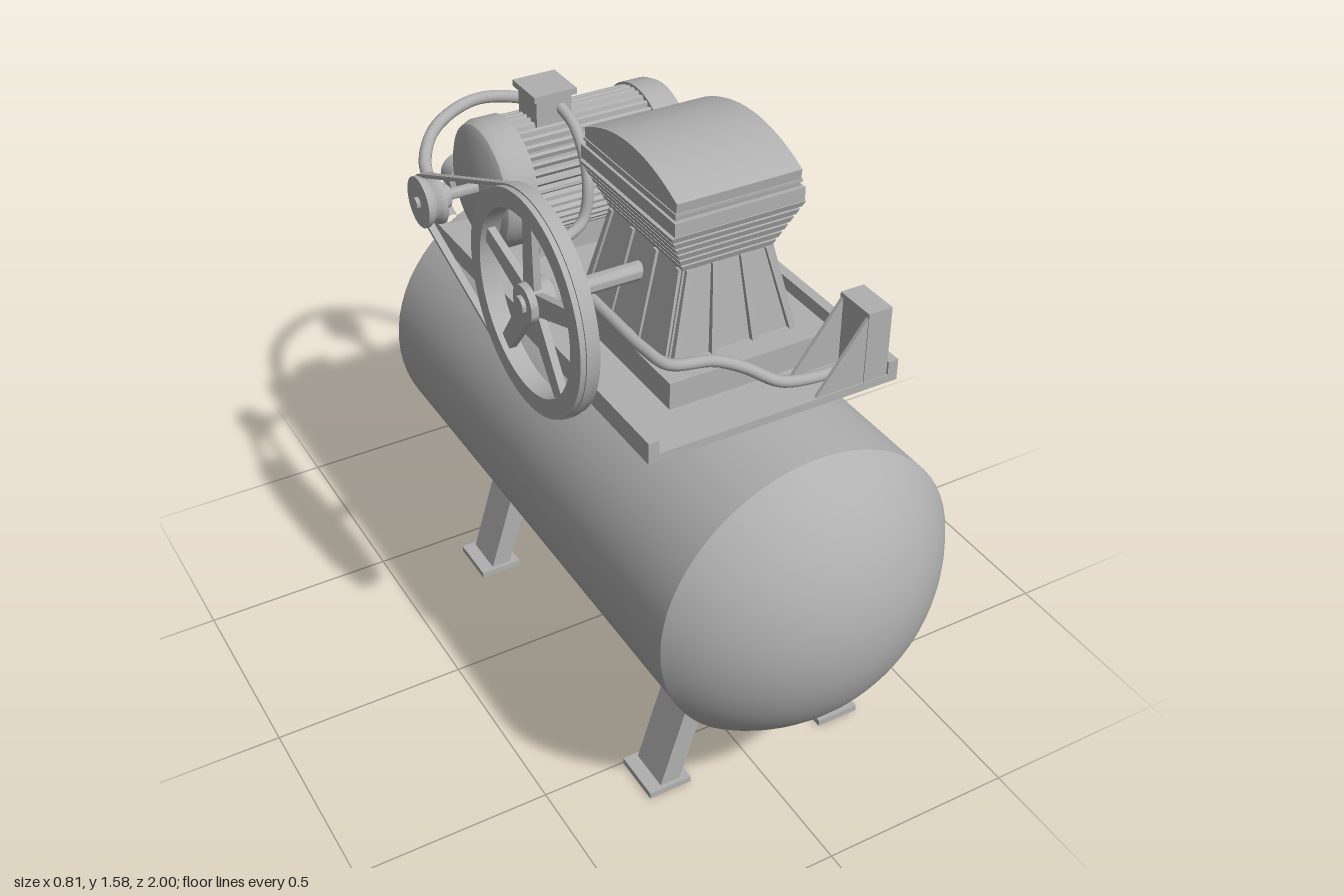
import * as THREE from 'three';
import { toCreasedNormals } from 'three/addons/utils/BufferGeometryUtils.js';

const CX = 0.022; // centre line of tank and pump
const steel = new THREE.MeshStandardMaterial({ color: 0xb0b0b0 });
steel.name = 'grey steel';

export function createModel() {
  const model = new THREE.Group();
  model.name = 'airCompressor';

  const add = (name, geo, parent = model) => {
    const mesh = new THREE.Mesh(geo, steel);
    mesh.name = name;
    parent.add(mesh);
    return mesh;
  };
  const group = (name) => {
    const g = new THREE.Group();
    g.name = name;
    model.add(g);
    return g;
  };
  // box given by its extents
  const box = (x0, x1, y0, y1, z0, z1) =>
    new THREE.BoxGeometry(x1 - x0, y1 - y0, z1 - z0).translate((x0 + x1) / 2, (y0 + y1) / 2, (z0 + z1) / 2);
  const V2 = (pts) => pts.map(([a, b]) => new THREE.Vector2(a, b));
  // lathe profile [radius, position along axis]
  const lathe = (pts, seg = 32) => new THREE.LatheGeometry(V2(pts), seg);
  const latheX = (pts, y, z, seg) => toCreasedNormals(lathe(pts, seg).rotateZ(-Math.PI / 2), 0.6).translate(0, y, z);
  const rodX = (x0, x1, r, y, z) => latheX([[0, x0], [r, x0], [r, x1], [0, x1]], y, z, 24);
  // shape drawn in (z, y), extruded between x0 and x1
  const extrudeX = (shape, x0, x1, curveSegments = 32) => toCreasedNormals(
    new THREE.ExtrudeGeometry(shape, { depth: x1 - x0, bevelEnabled: false, curveSegments })
      .rotateY(-Math.PI / 2).translate(x1, 0, 0), 0.5);
  const extrudeZ = (pts, z0, z1) =>
    new THREE.ExtrudeGeometry(new THREE.Shape(V2(pts)), { depth: z1 - z0, bevelEnabled: false }).translate(0, 0, z0);
  const tube = (pts, r, seg = 60) => new THREE.TubeGeometry(
    new THREE.CatmullRomCurve3(pts.map((p) => new THREE.Vector3(...p))), seg, r, 12);
  // stack of rectangles [y, x0, x1, z0, z1], closed at both ends, flat faces
  const loft = (sections) => {
    const pos = [];
    const rings = sections.map(([y, x0, x1, z0, z1]) => [[x0, y, z1], [x1, y, z1], [x1, y, z0], [x0, y, z0]]);
    const quad = (a, b, c, d) => pos.push(...a, ...b, ...c, ...a, ...c, ...d);
    for (let i = 0; i < rings.length - 1; i++) {
      for (let j = 0; j < 4; j++) {
        const k = (j + 1) % 4;
        quad(rings[i][j], rings[i][k], rings[i + 1][k], rings[i + 1][j]);
      }
    }
    const top = rings[rings.length - 1], b = rings[0];
    quad(...top);
    quad(b[3], b[2], b[1], b[0]);
    const geo = new THREE.BufferGeometry();
    geo.setAttribute('position', new THREE.Float32BufferAttribute(pos, 3));
    geo.computeVertexNormals();
    return geo;
  };

  // Tank: cylinder with two spherical caps
  const profile = [];
  const R = 0.465, edge = Math.asin(0.382 / R), N = 14;
  for (let i = 0; i <= N; i++) {
    const a = edge * i / N;
    profile.push([R * Math.sin(a), -0.795 + R * (1 - Math.cos(a))]);
  }
  for (let i = N; i >= 0; i--) {
    const a = edge * i / N;
    profile.push([R * Math.sin(a), 1 - R * (1 - Math.cos(a))]);
  }
  add('tank', toCreasedNormals(lathe(profile, 64).rotateX(Math.PI / 2), 0.5).translate(CX, 0.655, 0));

  // Leg frames with foot plates
  for (const [name, z] of [['frontLegs', 0.569], ['rearLegs', -0.364]]) {
    const legs = group(name);
    const half = [[0.19, 0.28], [0.27, 0.015], [0.217, 0.015], [0.143, 0.253]];
    const outline = [...half.map(([x, y]) => [CX + x, y]), ...half.slice().reverse().map(([x, y]) => [CX - x, y])];
    add('legFrame', extrudeZ(outline.reverse(), z - 0.056, z + 0.056), legs);
    for (const s of [-1, 1]) {
      const fx = CX + s * 0.248;
      add('foot', box(fx - 0.057, fx + 0.057, 0, 0.017, z - 0.067, z + 0.067), legs);
    }
  }

  // Mounting tray with side rims
  const tray = group('tray');
  add('trayFloor', box(-0.303, 0.341, 1.04, 1.06, -0.45, 0.645), tray);
  add('trayRim', box(-0.303, -0.277, 1.04, 1.094, -0.45, 0.645), tray);
  add('trayRim', box(0.315, 0.341, 1.04, 1.094, -0.45, 0.645), tray);

  // Curved handle at the back
  const bend = [[0.276, 1.08, -0.43], [0.265, 1.093, -0.53], [0.24, 1.122, -0.67], [0.15, 1.158, -0.785]];
  add('handle', tube([
    ...bend.map(([x, y, z]) => [CX - x, y, z]), [CX, 1.178, -0.838],
    ...bend.slice().reverse().map(([x, y, z]) => [CX + x, y, z]),
  ], 0.017));

  // Pump: base, tapered crankcase with ribs, finned neck, arched head
  const pump = group('pump');
  const PZ = 0.262, PY = 1.258;
  add('pumpBase', box(-0.178, 0.213, 1.06, 1.128, 0, 0.52), pump);
  const sec = (y, w, d) => [y, CX - w, CX + w, PZ - d, PZ + d];
  add('crankcase', loft([sec(1.128, 0.165, 0.19), sec(1.337, 0.113, 0.16)]), pump);
  for (const s of [-1, 1]) {
    for (const t of [-1, -0.35, 0.35, 1]) {
      const rib = (y, w, d) => {
        const x = CX + t * (w - 0.012), z = PZ + s * d;
        return [y, x - 0.007, x + 0.007, z - 0.014, z + 0.014];
      };
      add('crankcaseRib', loft([rib(1.128, 0.165, 0.19), rib(1.337, 0.113, 0.155)]), pump);
      const sideRib = (y, w, d) => {
        const x = CX + s * w, z = PZ + t * (d - 0.012);
        return [y, x - 0.011, x + 0.011, z - 0.007, z + 0.007];
      };
      add('crankcaseRib', loft([sideRib(1.128, 0.16, 0.19), sideRib(1.337, 0.11, 0.16)]), pump);
    }
  }
  const neck = [];
  for (let i = 0; i < 6; i++) {
    const y = 1.337 + i * 0.02, w = 0.115 + i * 0.0095, d = 0.163 + i * 0.007;
    neck.push(sec(y, w, d), sec(y + 0.014, w + 0.006, d + 0.005), sec(y + 0.015, w - 0.003, d - 0.003));
  }
  neck.push(sec(1.455, 0.163, 0.206), sec(1.488, 0.163, 0.206));
  add('coolingFins', loft(neck), pump);
  const arch = new THREE.Shape();
  arch.moveTo(PZ - 0.195, 1.488);
  arch.lineTo(PZ + 0.195, 1.488);
  arch.lineTo(PZ + 0.2, 1.53);
  arch.quadraticCurveTo(PZ, 1.632, PZ - 0.2, 1.53);
  arch.closePath();
  add('cylinderHead', extrudeX(arch, CX - 0.156, CX + 0.156, 16), pump);
  add('headGasket', box(CX - 0.159, CX + 0.159, 1.5, 1.506, PZ - 0.2, PZ + 0.2), pump);
  add('crankEnd', rodX(0.1, 0.205, 0.024, PY, PZ), pump);
  add('crankShaft', rodX(-0.41, -0.08, 0.022, PY, PZ), pump);

  // Flywheel: rim, spokes, hub
  const flywheel = group('flywheel');
  const rim = new THREE.Shape().absarc(PZ, PY, 0.262, 0, Math.PI * 2);
  rim.holes.push(new THREE.Path().absarc(PZ, PY, 0.216, 0, Math.PI * 2, true));
  add('rim', extrudeX(rim, -0.397, -0.35, 32), flywheel);
  for (let i = 0; i < 5; i++) {
    const spoke = loft([[0.03, -0.009, 0.009, -0.026, 0.026], [0.225, -0.009, 0.009, -0.02, 0.02]]);
    add('spoke', spoke.rotateX(i * Math.PI * 0.4).translate(-0.374, PY, PZ), flywheel);
  }
  add('hub', latheX([[0, -0.4], [0.045, -0.4], [0.052, -0.35], [0.052, -0.338], [0.035, -0.322], [0, -0.322]], PY, PZ), flywheel);

  // Motor: grooved body, two end bells, feet, shaft and pulley
  const motor = group('motor');
  const MY = 1.241, MZ = -0.288;
  const teeth = [], T = 44;
  for (let i = 0; i < T; i++) {
    for (const [f, r] of [[0, 0.145], [0.3, 0.156], [0.65, 0.156], [0.95, 0.145]]) {
      const a = (i + f) / T * Math.PI * 2;
      teeth.push([MZ + r * Math.cos(a), MY + r * Math.sin(a)]);
    }
  }
  add('motorBody', extrudeX(new THREE.Shape(V2(teeth)), -0.165, 0.205), motor);
  add('endBell', latheX([[0, -0.246], [0.135, -0.246], [0.153, -0.236], [0.162, -0.215], [0.162, -0.157], [0, -0.157]], MY, MZ, 48), motor);
  add('endBell', latheX([[0, 0.197], [0.162, 0.197], [0.162, 0.255], [0.153, 0.275], [0.135, 0.285], [0, 0.285]], MY, MZ, 48), motor);
  for (const z of [MZ - 0.08, MZ + 0.08]) add('motorFoot', box(-0.13, 0.17, 1.055, 1.13, z - 0.02, z + 0.02), motor);
  add('motorShaft', rodX(-0.41, -0.24, 0.014, MY, MZ), motor);
  add('pulley', latheX([[0, -0.4], [0.064, -0.4], [0.064, -0.39], [0.054, -0.375], [0.064, -0.36], [0.064, -0.35],
    [0.035, -0.345], [0.03, -0.325], [0, -0.325]], MY, MZ), motor);

  // Junction box on the motor
  add('junctionBox', box(-0.102, -0.008, 1.37, 1.456, -0.335, -0.24), motor);
  add('junctionLid', box(-0.112, 0.002, 1.455, 1.471, -0.345, -0.23), motor);

  // Drive belt around flywheel and pulley
  const dist = Math.hypot(PZ - MZ, PY - MY);
  const phi = Math.atan2(MY - PY, MZ - PZ), alpha = Math.acos(0.2 / dist);
  const loop = (path, inset) => {
    path.absarc(PZ, PY, 0.266 - inset, phi + alpha, phi - alpha + Math.PI * 2, false);
    path.absarc(MZ, MY, 0.066 - inset, phi - alpha, phi + alpha, false);
    path.closePath();
    return path;
  };
  const belt = loop(new THREE.Shape(), 0);
  belt.holes.push(loop(new THREE.Path(), 0.009));
  add('driveBelt', extrudeX(belt, -0.384, -0.366, 32));

  // Switch box with two gussets
  const control = group('switchBox');
  add('switchHousing', box(0.25, 0.312, 1.06, 1.24, 0.535, 0.643), control);
  for (const z of [0.537, 0.632]) {
    add('gusset', extrudeZ([[0.125, 1.06], [0.255, 1.06], [0.255, 1.235]], z, z + 0.009), control);
  }

  // Cable from the junction box to the switch box
  add('cable', tube([
    [-0.035, 1.425, -0.25], [-0.03, 1.395, -0.18], [-0.035, 1.29, -0.112], [-0.06, 1.19, -0.095], [-0.145, 1.155, -0.07],
    [-0.175, 1.15, 0.01], [-0.177, 1.15, 0.2], [-0.175, 1.15, 0.4], [-0.155, 1.145, 0.475], [-0.06, 1.142, 0.507],
    [0, 1.122, 0.535], [0.07, 1.085, 0.575], [0.14, 1.076, 0.588], [0.26, 1.076, 0.592],
  ], 0.014, 110));

  // Rear outlet pipe with valve and open-faced gauge
  const outlet = group('outlet');
  add('outletPipe', tube([
    [CX, 0.655, -0.78], [CX, 0.655, -0.83], [CX, 0.67, -0.88], [CX, 0.72, -0.907], [CX, 0.8, -0.912], [CX, 0.97, -0.912],
  ], 0.017, 40), outlet);
  add('valveBody', toCreasedNormals(lathe([[0, 0.81], [0.02, 0.82], [0.022, 0.95], [0.028, 0.965], [0.028, 1.025], [0.02, 1.038], [0, 1.04]], 24), 0.6)
    .translate(CX, 0, -0.912), outlet);
  add('gauge', toCreasedNormals(lathe([[0, -0.985], [0.046, -0.985], [0.046, -1], [0.055, -1], [0.055, -0.937], [0, -0.937]], 32)
    .rotateX(Math.PI / 2), 0.6).translate(CX - 0.003, 0.885, 0), outlet);

  return model;
}
